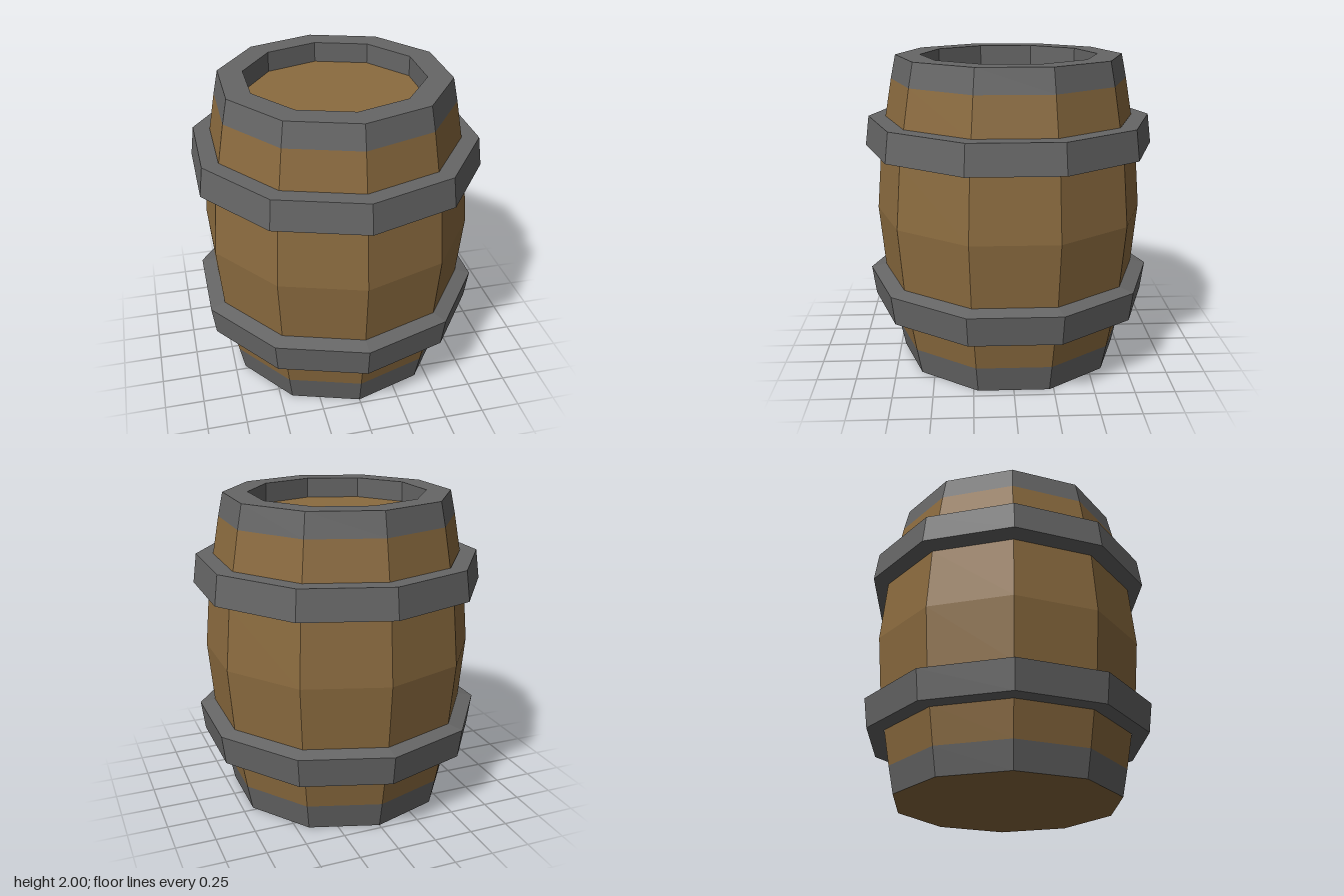
import * as THREE from 'three';

const SIDES = 10;

// Faceted ring or shell from a [radius, height] profile; outer walls run upward.
function shell(profile) {
  const points = profile.map(([r, y]) => new THREE.Vector2(r, y));
  const geometry = new THREE.LatheGeometry(points, SIDES).toNonIndexed();
  geometry.computeVertexNormals();
  return geometry;
}

// Flat ten-sided disc, facing up (1) or down (-1).
function disc(radius, y, facing) {
  return new THREE.CircleGeometry(radius, SIDES, Math.PI / 2)
    .rotateX(-facing * Math.PI / 2)
    .translate(0, y, 0);
}

// Mirror a profile about the barrel's middle, keeping the winding direction.
const flip = (profile) => profile.map(([r, y]) => [r, 2 - y]).reverse();

export function createModel() {
  const wood = new THREE.MeshStandardMaterial({ color: 0x8b6b3f });
  wood.name = 'wood';
  const iron = new THREE.MeshStandardMaterial({ color: 0x666666 });
  iron.name = 'iron';

  const barrel = new THREE.Group();
  barrel.name = 'barrel';
  const add = (name, geometry, material) => {
    const mesh = new THREE.Mesh(geometry, material);
    mesh.name = name;
    barrel.add(mesh);
  };

  // Bulging wooden body between the painted end bands
  add('staves', shell([
    [0.755, 0.17], [0.797, 0.4], [0.832, 0.6], [0.867, 1],
    [0.832, 1.4], [0.797, 1.6], [0.752, 1.85],
  ]), wood);
  add('bottomBoard', disc(0.72, 0, -1), wood);
  add('lid', disc(0.563, 1.87, 1), wood);

  // End bands; the upper one wraps over the rim into the lid recess
  add('bottomBand', shell([[0.72, 0], [0.755, 0.17]]), iron);
  add('topBand', shell([[0.752, 1.85], [0.72, 2], [0.563, 2], [0.563, 1.87]]), iron);

  // Protruding hoops
  const hoop = [[0.83, 1.4], [0.93, 1.422], [0.905, 1.61], [0.797, 1.61]];
  add('upperHoop', shell(hoop), iron);
  add('lowerHoop', shell(flip(hoop)), iron);

  return barrel;
}
